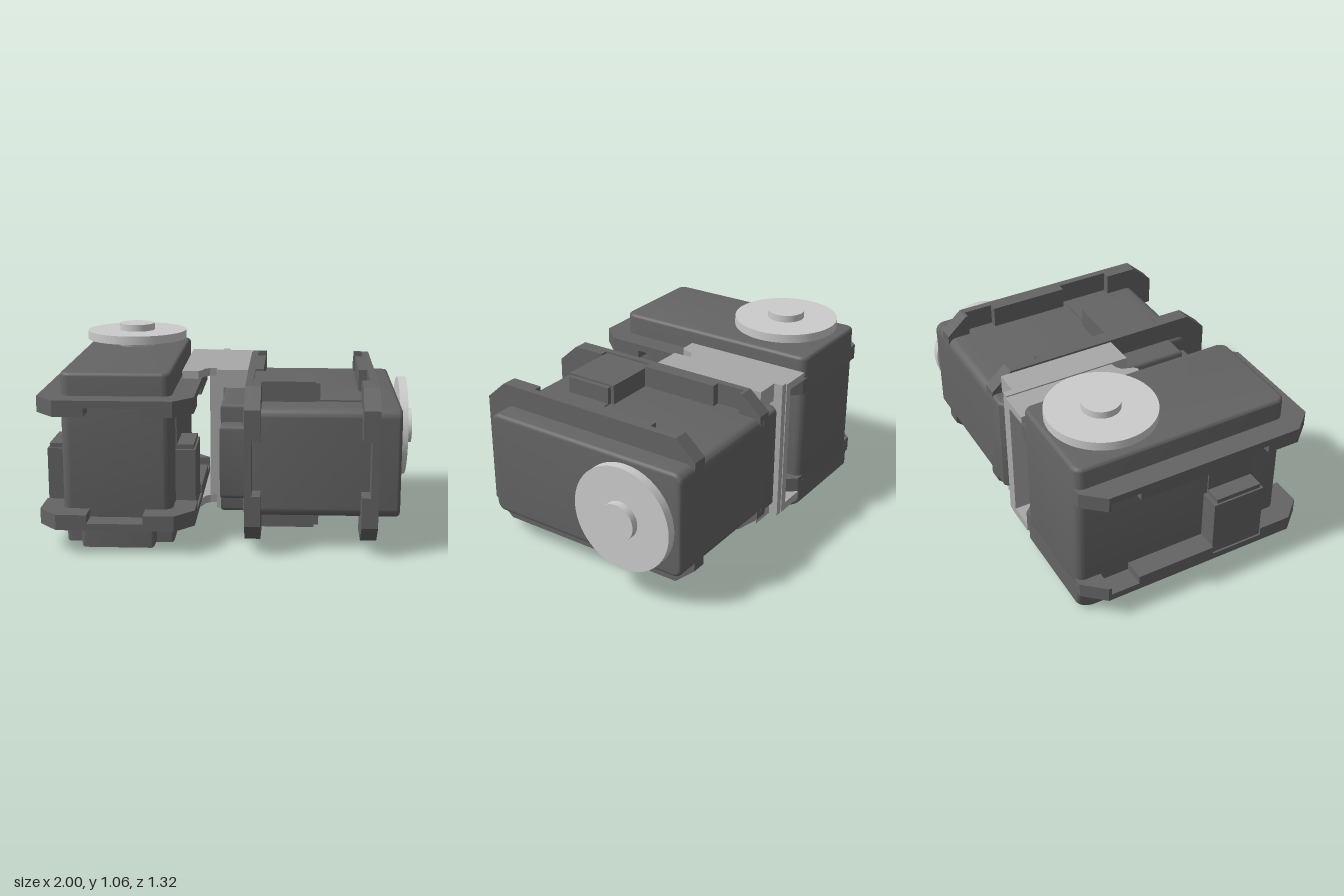
import * as THREE from 'three';
import { toCreasedNormals } from 'three/addons/utils/BufferGeometryUtils.js';

const dark = new THREE.MeshStandardMaterial({ color: 0x646464 });
const mid = new THREE.MeshStandardMaterial({ color: 0xa8a8a8 });
const light = new THREE.MeshStandardMaterial({ color: 0xcccccc });

function add(parent, name, geometry, material) {
  const mesh = new THREE.Mesh(geometry, material);
  mesh.name = name;
  parent.add(mesh);
  return mesh;
}

// Box given by its two extreme corners
function block(parent, name, material, x0, x1, y0, y1, z0, z1) {
  const mesh = add(parent, name, new THREE.BoxGeometry(x1 - x0, y1 - y0, z1 - z0), material);
  mesh.position.set((x0 + x1) / 2, (y0 + y1) / 2, (z0 + z1) / 2);
}

// Flat plate: plan outline in (x, z), thickness from y0 to y1
function plate(parent, name, material, points, y0, y1) {
  const shape = new THREE.Shape(points.map(([x, z]) => new THREE.Vector2(x, -z)));
  const geo = new THREE.ExtrudeGeometry(shape, { depth: y1 - y0, bevelEnabled: false });
  geo.rotateX(-Math.PI / 2).translate(0, y0, 0);
  add(parent, name, geo, material);
}

// Main case: rounded plan with softened end edges
function caseGeometry(hw, z0, z1, y0, y1, r, b) {
  const s = new THREE.Shape();
  const x = hw - b, lo = -z1 + b, hi = -z0 - b, q = r - b;
  s.moveTo(-x + q, lo);
  s.lineTo(x - q, lo);
  s.absarc(x - q, lo + q, q, -Math.PI / 2, 0);
  s.absarc(x - q, hi - q, q, 0, Math.PI / 2);
  s.absarc(-x + q, hi - q, q, Math.PI / 2, Math.PI);
  s.absarc(-x + q, lo + q, q, Math.PI, Math.PI * 1.5);
  const geo = new THREE.ExtrudeGeometry(s, {
    depth: y1 - y0 - 2 * b, bevelSize: b, bevelThickness: b, bevelSegments: 4, curveSegments: 6,
  });
  geo.rotateX(-Math.PI / 2).translate(0, y0 + b, 0);
  return toCreasedNormals(geo, 0.6);
}

// End cap: side outline with a curved rear corner, extruded across the width
function capGeometry(hw, front) {
  const b = 0.02;
  const s = new THREE.Shape();
  s.moveTo(front - b, b);
  s.lineTo(front - b, 0.16);
  s.lineTo(-0.66 + b, 0.16);
  s.lineTo(-0.66 + b, 0.06);
  s.quadraticCurveTo(-0.61, b, -0.55, b);
  s.closePath();
  const geo = new THREE.ExtrudeGeometry(s, {
    depth: 2 * (hw - b), bevelSize: b, bevelThickness: b, bevelSegments: 4, curveSegments: 8,
  });
  geo.translate(0, 0, -(hw - b)).rotateY(-Math.PI / 2);
  return toCreasedNormals(geo, 0.6);
}

const disc = (r0, r1, y0, y1) =>
  new THREE.CylinderGeometry(r1, r0, y1 - y0, 48).translate(0, (y0 + y1) / 2, -0.367);

// One actuator, output shaft along +y
function createServo(name) {
  const servo = new THREE.Group();
  servo.name = name;
  add(servo, 'case', caseGeometry(0.288, -0.66, 0.537, 0.12, 0.933, 0.05, 0.02), dark);
  add(servo, 'endCap', capGeometry(0.288, 0.44), dark);
  add(servo, 'endCapNose', capGeometry(0.193, 0.535), dark);

  // Chamfered mounting flanges: solid outer layer, notched inner layer
  const half = [[0.145, 0.657], [0.305, 0.657], [0.405, 0.545], [0.405, -0.545], [0.305, -0.658]];
  const notched = [
    [0.145, 0.53], [0.145, 0.657], [0.305, 0.657], [0.405, 0.545],
    [0.405, 0.365], [0.28, 0.365], [0.28, 0.07], [0.405, 0.07],
    [0.405, -0.37], [0.28, -0.37], [0.28, -0.53], [0.405, -0.53],
    [0.405, -0.545], [0.305, -0.658],
  ];
  const mirrored = (pts) => [...pts, ...pts.map(([x, z]) => [-x, z]).reverse()];
  plate(servo, 'lowerFlange', dark, mirrored(half), 0.13, 0.167);
  plate(servo, 'lowerFlangeLip', dark, mirrored(notched), 0.167, 0.212);
  plate(servo, 'upperFlangeLip', dark, mirrored(notched), 0.728, 0.773);
  plate(servo, 'upperFlange', dark, mirrored(half), 0.773, 0.812);

  // Cable sockets on both sides
  for (const s of [-1, 1]) {
    const side = (label, x, y0, y1, z0, z1) =>
      block(servo, label, dark, Math.min(s * 0.25, s * x), Math.max(s * 0.25, s * x), y0, y1, z0, z1);
    side('socket', 0.395, 0.16, 0.49, 0.07, 0.365);
    side('socketLip', 0.385, 0.48, 0.515, 0.09, 0.35);
    side('socketRail', 0.296, 0.51, 0.73, 0.09, 0.35);
  }

  // Output shaft and round horn
  add(servo, 'shaftCollar', disc(0.105, 0.122, 0.93, 0.968), light);
  add(servo, 'shaft', disc(0.09, 0.09, 0.92, 0.98), light);
  add(servo, 'horn', disc(0.284, 0.284, 0.975, 1.022), light);
  add(servo, 'hornHub', disc(0.1, 0.1, 1.02, 1.06), light);
  return servo;
}

// Double bracket joining the two actuators back to side
function createBracket() {
  const bracket = new THREE.Group();
  bracket.name = 'bracket';
  block(bracket, 'outerWeb', mid, -0.15, -0.108, 0.09, 0.85, -0.66, -0.04);
  block(bracket, 'innerWeb', mid, -0.108, -0.07, 0.078, 0.865, -0.655, 0.055);
  const arm = [
    [-0.295, -0.66], [-0.108, -0.66], [-0.108, -0.04], [-0.15, -0.03],
    [-0.175, -0.01], [-0.19, 0.04], [-0.205, 0.063], [-0.295, 0.063],
  ];
  for (const [label, a0, a1, b0, b1] of [
    ['upper', 0.815, 0.858, 0.765, 0.865],
    ['lower', 0.082, 0.126, 0.078, 0.172],
  ]) {
    plate(bracket, label + 'ThinArm', mid, arm, a0, a1);
    block(bracket, label + 'ThickArm', mid, -0.075, 0.066, b0, b1, -0.605, 0.055);
  }
  return bracket;
}

export function createModel() {
  const model = new THREE.Group();
  model.name = 'servoPair';
  const upright = createServo('uprightServo');
  upright.position.x = -0.595;
  const sideways = createServo('sidewaysServo');
  sideways.rotation.z = -Math.PI / 2;
  sideways.position.set(-0.06, 0.468, 0);
  model.add(upright, sideways, createBracket());
  return model;
}
